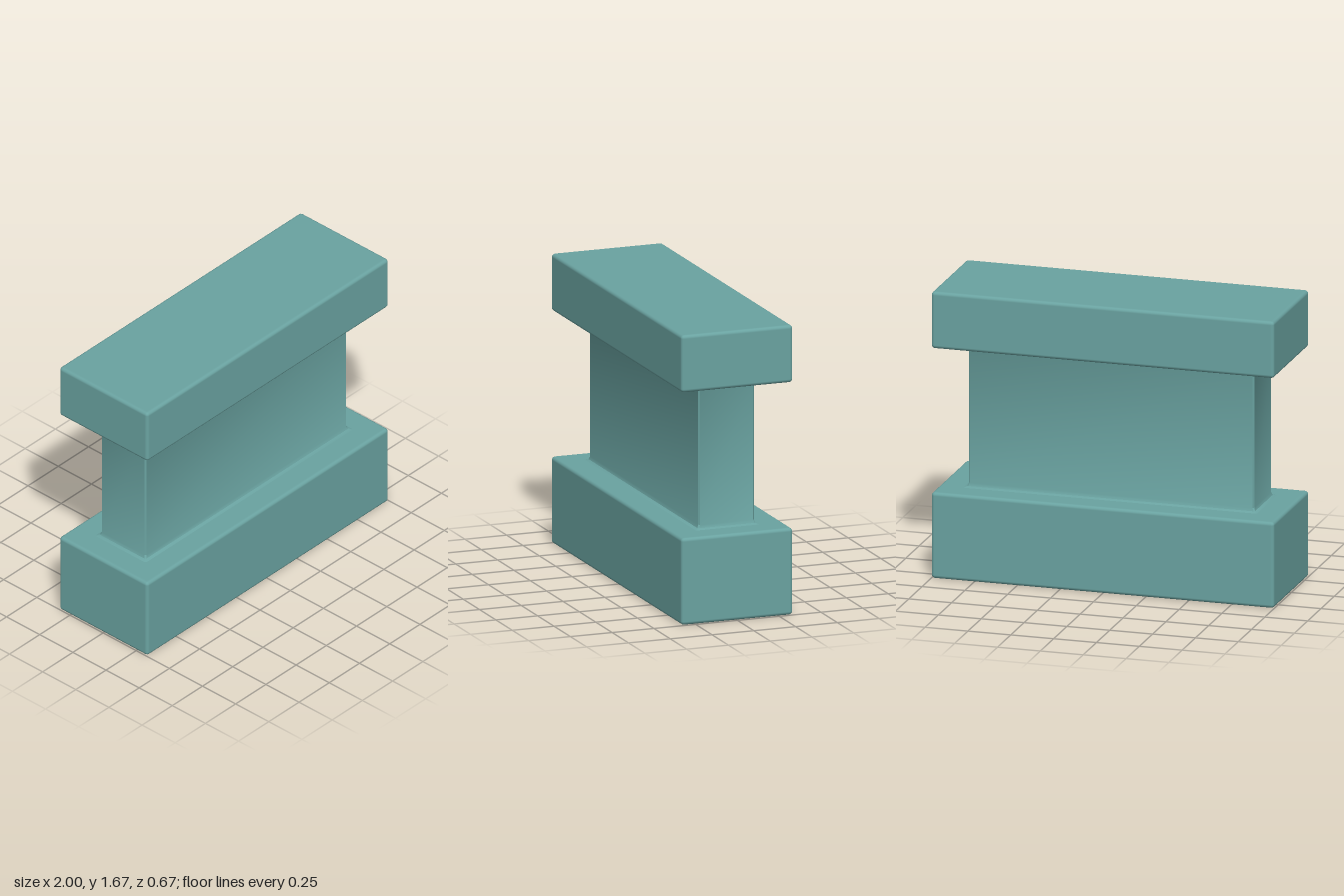
import * as THREE from 'three';
import { RoundedBoxGeometry } from 'three/addons/geometries/RoundedBoxGeometry.js';
import { toCreasedNormals } from 'three/addons/utils/BufferGeometryUtils.js';

const BEVEL = 0.02;
const HALF_X = 0.833, HALF_Z = 0.167; // web half sizes
const BASE_TOP = 0.5, CAP_BOTTOM = 1.337, TOP = 1.667;

// Bevelled slab between two heights
function slab(name, y0, y1, material) {
  const mesh = new THREE.Mesh(new RoundedBoxGeometry(2, y1 - y0, 0.667, 2, BEVEL), material);
  mesh.name = name;
  mesh.position.y = (y0 + y1) / 2;
  return mesh;
}

// Wall with chamfered corners, flared outwards where it meets the slabs
function webGeometry() {
  const levels = [
    [BASE_TOP - 0.01, 0.024], [BASE_TOP, 0.024], [BASE_TOP + 0.007, 0.007], [BASE_TOP + 0.024, 0],
    [CAP_BOTTOM - 0.024, 0], [CAP_BOTTOM - 0.007, 0.007], [CAP_BOTTOM, 0.024], [CAP_BOTTOM + 0.01, 0.024],
  ];
  const c = 0.008, positions = [], indices = [];
  for (const [y, flare] of levels) {
    const x = HALF_X + flare, z = HALF_Z + flare;
    const ring = [[x, z - c], [x - c, z], [c - x, z], [-x, z - c], [-x, c - z], [c - x, -z], [x - c, -z], [x, c - z]];
    for (const [px, pz] of ring) positions.push(px, y, pz);
  }
  for (let r = 0; r < levels.length - 1; r++) {
    for (let i = 0; i < 8; i++) {
      const a = r * 8 + i, b = r * 8 + (i + 1) % 8;
      indices.push(a, a + 8, b, b, a + 8, b + 8);
    }
  }
  const geometry = new THREE.BufferGeometry();
  geometry.setAttribute('position', new THREE.Float32BufferAttribute(positions, 3));
  geometry.setIndex(indices);
  return toCreasedNormals(geometry, Math.PI / 7);
}

export function createModel() {
  const teal = new THREE.MeshStandardMaterial({ color: 0x6aa3a1 });
  teal.name = 'teal';

  const web = new THREE.Mesh(webGeometry(), teal);
  web.name = 'web';

  const group = new THREE.Group();
  group.name = 'flangedBlock';
  group.add(slab('base', 0, BASE_TOP, teal), web, slab('cap', CAP_BOTTOM, TOP, teal));
  return group;
}
